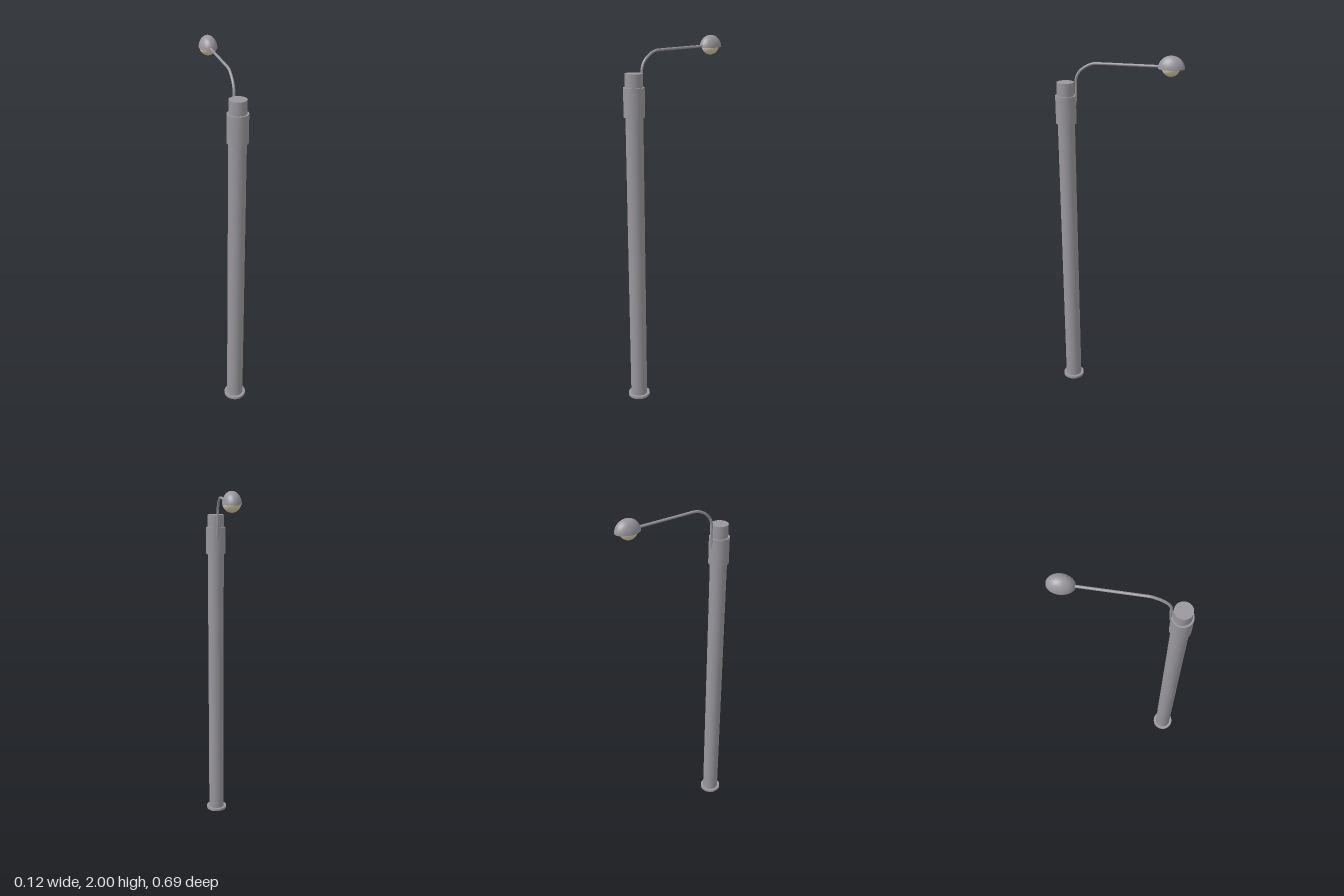
import * as THREE from 'three';

const metal = new THREE.MeshStandardMaterial({ color: 0x99979c });
metal.name = 'grey metal';
const glass = new THREE.MeshStandardMaterial({ color: 0xd9cfa6 });
glass.name = 'cream glass';

const POLE_Z = 0.282, LAMP_Z = -0.276, LAMP_X = -0.002, RIM_Y = 1.935;

export function createModel() {
  const model = new THREE.Group();
  model.name = 'streetLamp';

  const add = (name, geometry, material, x, y, z) => {
    const mesh = new THREE.Mesh(geometry, material);
    mesh.name = name;
    mesh.position.set(x, y, z);
    model.add(mesh);
    return mesh;
  };

  // Stacked round parts of the post: name, radius, bottom, top
  for (const [name, r, y0, y1] of [
    ['basePlate', 0.061, 0, 0.014],
    ['pole', 0.046, 0.014, 1.84],
    ['collar', 0.055, 1.62, 1.77],
  ]) {
    add(name, new THREE.CylinderGeometry(r, r, y1 - y0, 32), metal, 0, (y0 + y1) / 2, POLE_Z);
  }

  // Arm: rises from the collar, bends and runs level to the lamp
  const path = new THREE.CurvePath();
  const v = (y, z) => new THREE.Vector3(-0.003, y, z);
  path.add(new THREE.CatmullRomCurve3([
    v(1.69, 0.238), v(1.74, 0.229), v(1.80, 0.225), v(1.865, 0.222),
    v(1.90, 0.202), v(1.927, 0.167), v(1.942, 0.13), v(1.944, 0.10),
  ]));
  path.add(new THREE.LineCurve3(v(1.944, 0.10), v(1.944, LAMP_Z)));
  add('arm', new THREE.TubeGeometry(path, 64, 0.007, 12), metal, 0, 0, 0);

  // Lamp shade: half an ellipsoid with a flat underside
  const dome = new THREE.SphereGeometry(1, 32, 12, 0, Math.PI * 2, 0, Math.PI / 2);
  add('shade', dome, metal, LAMP_X, RIM_Y, LAMP_Z).scale.set(0.0485, 0.065, 0.0685);
  const underside = add('shadeUnderside', new THREE.CircleGeometry(1, 32), metal, LAMP_X, RIM_Y, LAMP_Z);
  underside.rotation.x = Math.PI / 2;
  underside.scale.set(0.0485, 0.0685, 1);

  // Bulb showing below the shade
  const bulb = new THREE.SphereGeometry(0.047, 24, 12, 0, Math.PI * 2, Math.PI / 2, Math.PI / 2);
  add('bulb', bulb, glass, LAMP_X, 1.942, LAMP_Z + 0.002);

  return model;
}
